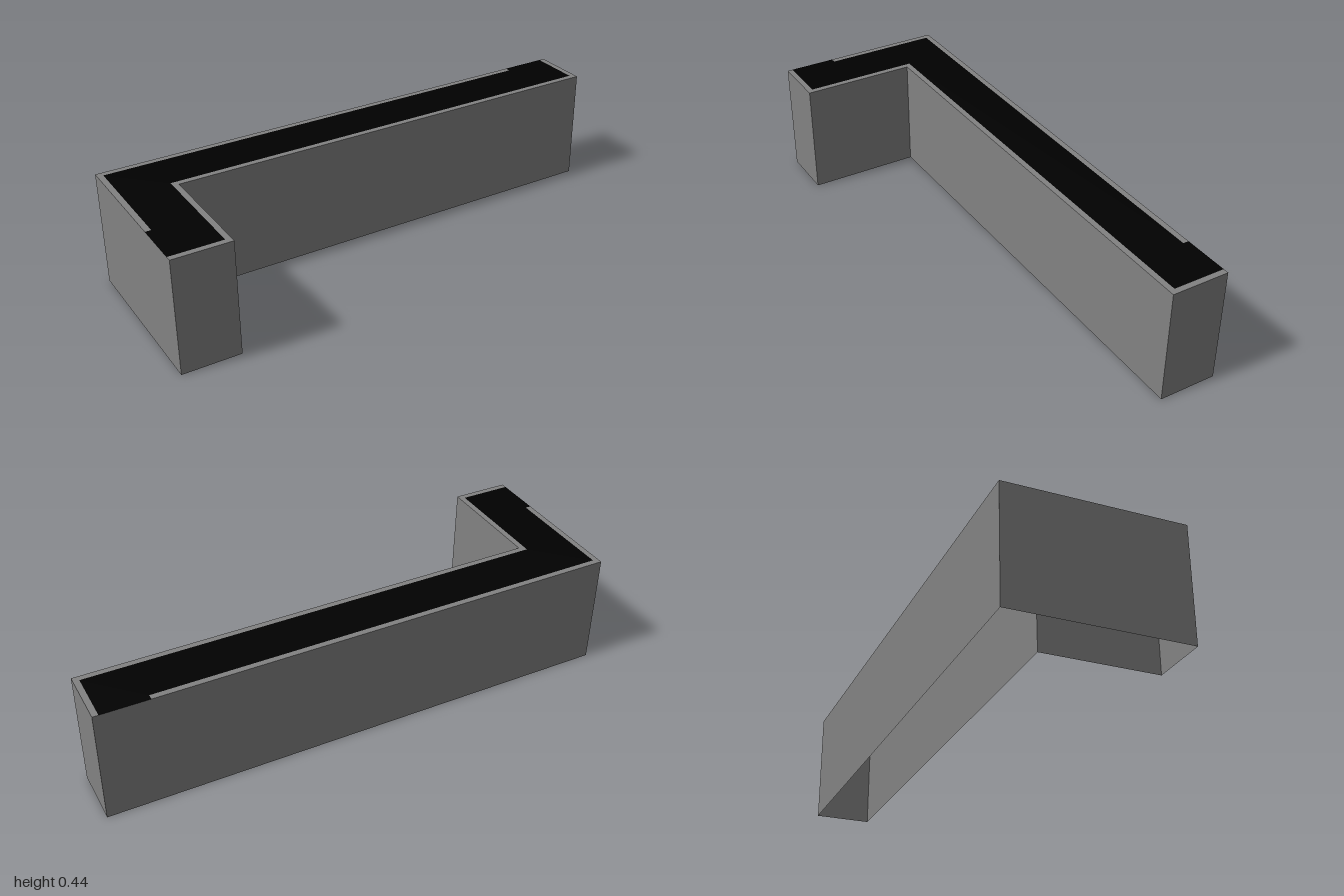
import * as THREE from 'three';

const H = 0.444; // counter height
const D = 0.333; // half depth

const grey = new THREE.MeshStandardMaterial({ color: 0x828282, side: THREE.DoubleSide });
const black = new THREE.MeshStandardMaterial({ color: 0x000000, side: THREE.DoubleSide });

// horizontal sheet at counter height from [x, z] corners
function sheet(name, corners, material) {
  const shape = new THREE.Shape(corners.map(([x, z]) => new THREE.Vector2(x, -z)));
  const geometry = new THREE.ShapeGeometry(shape);
  geometry.rotateX(-Math.PI / 2);
  geometry.translate(0, H, 0);
  const mesh = new THREE.Mesh(geometry, material);
  mesh.name = name;
  return mesh;
}

// upright panel from one [x, z] corner to the next, facing outward
function panel(name, [x0, z0], [x1, z1]) {
  const geometry = new THREE.PlaneGeometry(Math.hypot(x1 - x0, z1 - z0), H);
  const mesh = new THREE.Mesh(geometry, grey);
  mesh.position.set((x0 + x1) / 2, H / 2, (z0 + z1) / 2);
  mesh.rotation.y = Math.atan2(z0 - z1, x1 - x0);
  mesh.name = name;
  return mesh;
}

export function createModel() {
  const group = new THREE.Group();
  group.name = 'cornerCounter';

  // thin L-shaped wall, open underneath
  const outline = [[-1, -D], [-1, D], [-0.778, D], [-0.778, -0.111], [1, -0.111], [1, -D]];
  const names = ['sidePanel', 'returnEndPanel', 'returnInnerPanel', 'frontPanel', 'endPanel', 'backPanel'];
  outline.forEach((p, i) => group.add(panel(names[i], p, outline[(i + 1) % outline.length])));

  // dark worktop, reaching the outer edge at both ends of the L
  group.add(sheet('worktop', [
    [-0.978, -0.311], [-0.978, 0.131], [-1, 0.131], [-1, 0.311], [-0.8, 0.311],
    [-0.8, -0.133], [0.978, -0.133], [0.978, -D], [0.8, -D], [0.8, -0.311],
  ], black));

  // narrow border strips around the worktop
  group.add(sheet('outerBorder', [
    [0.8, -D], [-1, -D], [-1, 0.131], [-0.978, 0.131], [-0.978, -0.311], [0.8, -0.311],
  ], grey));
  group.add(sheet('innerBorder', [
    [-1, 0.311], [-1, D], [-0.778, D], [-0.778, -0.111], [1, -0.111], [1, -D],
    [0.978, -D], [0.978, -0.133], [-0.8, -0.133], [-0.8, 0.311],
  ], grey));

  return group;
}
